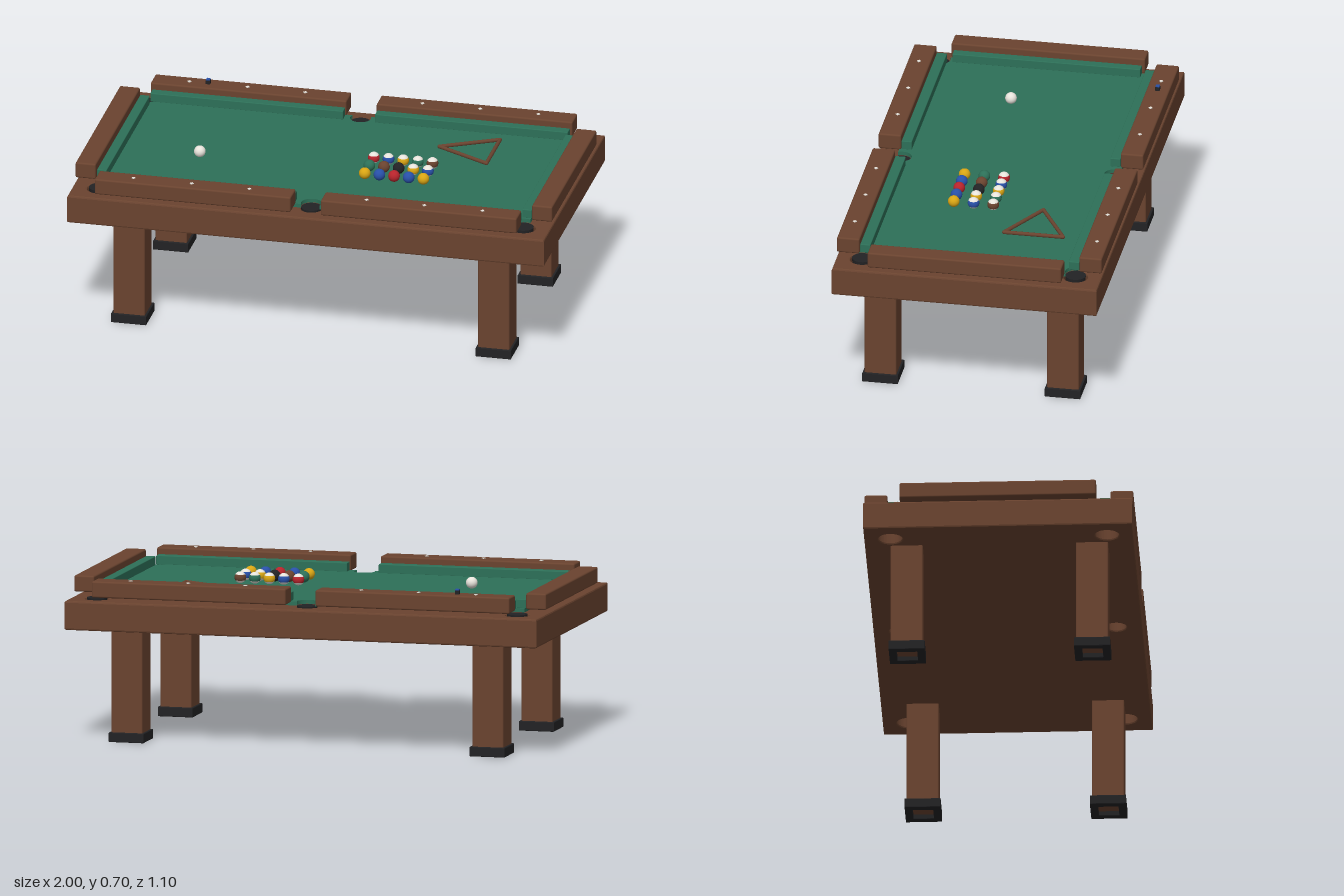
import * as THREE from 'three';
import { RoundedBoxGeometry } from 'three/addons/geometries/RoundedBoxGeometry.js';

const paint = (name, color) => {
  const m = new THREE.MeshStandardMaterial({ color });
  m.name = name;
  return m;
};

export function createModel() {
  const table = new THREE.Group();
  table.name = 'poolTable';
  const wood = paint('wood', 0x6a432f);
  const cloth = paint('greenCloth', 0x2d7058);
  const dark = paint('darkRubber', 0x222224);
  const white = paint('ivory', 0xe8e4dc);
  const yellow = paint('yellow', 0xd9a514);
  const blue = paint('blue', 0x2850a8);
  const red = paint('red', 0xb8242c);

  const add = (name, geometry, material, x = 0, y = 0, z = 0, parent = table) => {
    const mesh = new THREE.Mesh(geometry, material);
    mesh.name = name;
    mesh.position.set(x, y, z);
    parent.add(mesh);
    return mesh;
  };
  // Rounded block given by its lower and upper limits
  const block = (name, mat, x0, x1, y0, y1, z0, z1, r) => add(name,
    new RoundedBoxGeometry(x1 - x0, y1 - y0, z1 - z0, 2, r), mat,
    (x0 + x1) / 2, (y0 + y1) / 2, (z0 + z1) / 2);
  const rectangle = (w, d) => new THREE.Shape([
    new THREE.Vector2(-w, -d), new THREE.Vector2(w, -d),
    new THREE.Vector2(w, d), new THREE.Vector2(-w, d)]);
  const circle = (x, z, r) => new THREE.Path().absarc(x, z, r, 0, Math.PI * 2, true);
  // Flat slab extruded upward from y0 to y1
  const slab = (shape, y0, y1, bevel = 0) => new THREE.ExtrudeGeometry(shape, {
    depth: y1 - y0 - 2 * bevel, bevelEnabled: bevel > 0, bevelSize: bevel,
    bevelThickness: bevel, bevelOffset: -bevel, bevelSegments: 2, curveSegments: 20,
  }).rotateX(-Math.PI / 2).translate(0, y0 + bevel, 0);

  const pocketX = 0.89, pocketZ = 0.443;
  const pockets = [];
  for (const x of [-pocketX, 0, pocketX]) for (const z of [-pocketZ, pocketZ]) pockets.push([x, z]);

  // Body with pocket holes right through it
  const bodyShape = rectangle(1, 0.55);
  for (const [x, z] of pockets) bodyShape.holes.push(circle(x, z, x ? 0.049 : 0.042));
  add('body', slab(bodyShape, 0.47, 0.59, 0.007), wood);

  // Playing cloth, notched around each pocket
  const halfX = 0.91, halfZ = 0.463, notch = 0.043;
  const bed = new THREE.Shape();
  const bite = (x, z, from, to) => {
    while (to > from) to -= Math.PI * 2;
    bed.absarc(x, z, notch, from, to, true);
  };
  const toEdgeX = Math.acos((halfX - pocketX) / notch);
  const toEdgeZ = Math.asin((halfZ - pocketZ) / notch);
  bite(-pocketX, -pocketZ, Math.PI - toEdgeX, -toEdgeZ);
  bite(0, -pocketZ, Math.PI + toEdgeZ, -toEdgeZ);
  bite(pocketX, -pocketZ, Math.PI + toEdgeZ, toEdgeX);
  bite(pocketX, pocketZ, -toEdgeX, Math.PI - toEdgeZ);
  bite(0, pocketZ, toEdgeZ, Math.PI - toEdgeZ);
  bite(-pocketX, pocketZ, toEdgeZ, Math.PI + toEdgeX);
  bed.closePath();
  add('bedCloth', slab(bed, 0.596, 0.612), cloth);

  // Dark pocket cups
  for (const [x, z] of pockets)
    add('pocket', new THREE.CylinderGeometry(0.042, 0.038, 0.07, 24), dark, x, 0.56, z);

  // Rails, cushions and sight markers
  for (const s of [-1, 1]) {
    const span = (a, b) => (s > 0 ? [a, b] : [-b, -a]);
    block('endRail', wood, ...span(0.915, 1), 0.608, 0.675, -0.402, 0.402, 0.007);
    block('endCushion', cloth, ...span(0.872, 0.912), 0.61, 0.648, -0.39, 0.39, 0.003);
    for (const t of [-1, 1]) {
      const side = (a, b) => (t > 0 ? [a, b] : [-b, -a]);
      block('longRail', wood, ...span(0.063, 0.885), 0.608, 0.675, ...side(0.456, 0.55), 0.007);
      block('longCushion', cloth, ...span(0.067, 0.876), 0.61, 0.648, ...side(0.412, 0.455), 0.003);
      for (const x of [0.246, 0.488, 0.732])
        add('sightMarker', new THREE.CylinderGeometry(0.009, 0.009, 0.004, 4), white, s * x, 0.676, t * 0.503);
    }
  }

  // Legs standing in hollow square feet
  const footShape = rectangle(0.074, 0.074);
  footShape.holes.push(rectangle(0.042, 0.042));
  const footGeometry = slab(footShape, 0, 0.04, 0.003);
  for (const x of [-0.765, 0.765]) for (const z of [-0.379, 0.379]) {
    block('leg', wood, x - 0.066, x + 0.066, 0.02, 0.48, z - 0.066, z + 0.066, 0.006);
    add('foot', footGeometry, dark, x, 0, z);
  }

  // Balls: plain ones in one colour, striped ones with a band between white caps
  const R = 0.024, ballY = 0.612 + R;
  const zone = (a, b) => new THREE.SphereGeometry(R, 24, 8, 0, Math.PI * 2, a * Math.PI, (b - a) * Math.PI);
  const plain = new THREE.SphereGeometry(R, 24, 16);
  const top = zone(0, 0.33), band = zone(0.33, 0.67), bottom = zone(0.67, 1);
  add('cueBall', plain, white, -0.551, ballY, 0.088);
  const colours = [yellow, blue, red, blue, yellow, cloth, wood, dark,
    yellow, blue, red, blue, yellow, cloth, wood];
  colours.forEach((colour, i) => {
    const ball = new THREE.Group();
    ball.name = i < 8 ? 'plainBall' : 'stripedBall';
    ball.position.set(0.156 + (i % 5) * 0.0615, ballY, 0.152 - Math.floor(i / 5) * 0.082);
    table.add(ball);
    if (i < 8) add('ballSurface', plain, colour, 0, 0, 0, ball);
    else {
      add('topCap', top, white, 0, 0, 0, ball);
      add('stripe', band, colour, 0, 0, 0, ball);
      add('bottomCap', bottom, white, 0, 0, 0, ball);
    }
  });

  // Triangular ball rack made of rods with round joints
  const corners = [[0.383, -0.217], [0.609, -0.34], [0.609, -0.094]]
    .map(([x, z]) => new THREE.Vector3(x, 0.62, z));
  corners.forEach((a, i) => {
    const b = corners[(i + 1) % 3];
    const rod = add('rackRod', new THREE.CylinderGeometry(0.008, 0.008, a.distanceTo(b), 10), wood,
      ...a.clone().lerp(b, 0.5).toArray());
    rod.quaternion.setFromUnitVectors(new THREE.Vector3(0, 1, 0), b.clone().sub(a).normalize());
    add('rackJoint', new THREE.SphereGeometry(0.008, 10, 8), wood, ...a.toArray());
  });

  // Chalk cube on the back rail
  block('chalk', dark, -0.662, -0.644, 0.675, 0.692, -0.512, -0.494, 0.001);
  block('chalkTop', blue, -0.661, -0.645, 0.691, 0.697, -0.511, -0.495, 0.001);

  return table;
}
